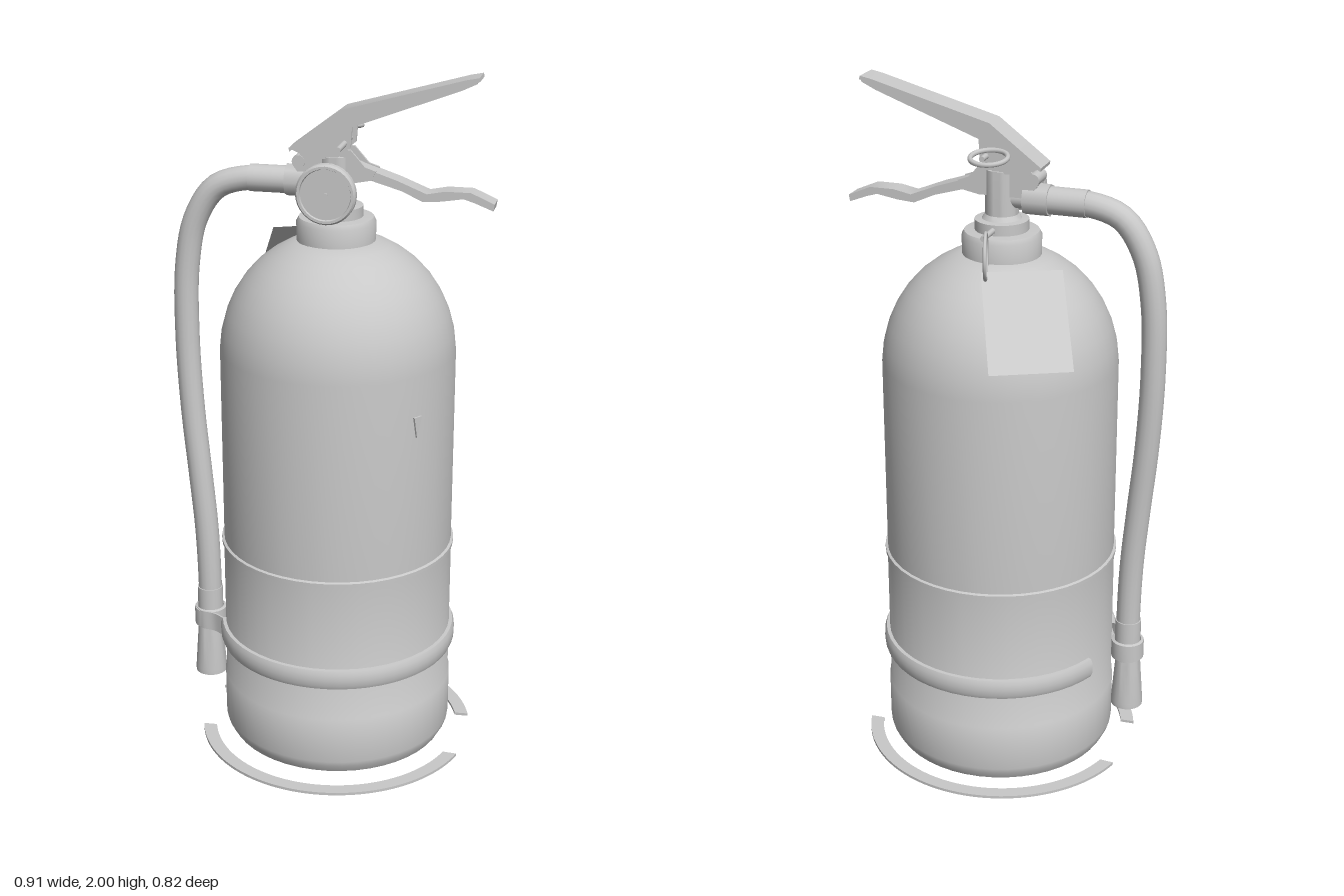
import * as THREE from 'three';
import { toCreasedNormals } from 'three/addons/utils/BufferGeometryUtils.js';

const CX = 0.02, CZ = -0.01; // tank axis
const VZ = -0.013;           // centre plane of the valve and handles

export function createModel() {
  const model = new THREE.Group();
  const grey = new THREE.MeshStandardMaterial({ color: 0xc8c8c8, side: THREE.DoubleSide });
  grey.name = 'light grey';

  const add = (name, geo, x = 0, y = 0, z = 0) => {
    const mesh = new THREE.Mesh(geo, grey);
    mesh.name = name;
    mesh.position.set(x, y, z);
    model.add(mesh);
    return mesh;
  };
  const v2 = (pts) => pts.map(([x, y]) => new THREE.Vector2(x, y));
  const v3 = (pts) => pts.map((p) => new THREE.Vector3(...p));
  const lathe = (pts, seg = 32, start = 0, len = Math.PI * 2) =>
    toCreasedNormals(new THREE.LatheGeometry(v2(pts), seg, start, len), 0.6);
  const cyl = (r0, r1, h, seg = 24) => new THREE.CylinderGeometry(r0, r1, h, seg);
  const slab = (pts, depth) => {
    const geo = new THREE.ExtrudeGeometry(new THREE.Shape(v2(pts)), { depth, bevelEnabled: false });
    geo.translate(0, 0, -depth / 2);
    return toCreasedNormals(geo, 0.6);
  };
  const tube = (pts, r, seg = 40, sides = 16) =>
    new THREE.TubeGeometry(new THREE.CatmullRomCurve3(v3(pts)), seg, r, sides);

  // Tank with a stepped base, a label lip and a round shoulder
  add('tank', lathe([
    [0, 0.012], [0.30, 0.012], [0.322, 0.02], [0.336, 0.045], [0.339, 0.06], [0.339, 0.2],
    [0.335, 0.206], [0.335, 0.624], [0.341, 0.627], [0.341, 0.637], [0.334, 0.64],
    [0.334, 1.22], [0.328, 1.275], [0.313, 1.33], [0.291, 1.38], [0.262, 1.425],
    [0.226, 1.465], [0.185, 1.497], [0.145, 1.52], [0.11, 1.533], [0, 1.535],
  ], 48), CX, 0, CZ);

  // Collar and valve body
  add('collar', lathe([
    [0.11, 1.52], [0.111, 1.585], [0.104, 1.598], [0.075, 1.6], [0.075, 1.63], [0.055, 1.632],
    [0.046, 1.645], [0.046, 1.77], [0, 1.775],
  ]), 0.014, 0, VZ);

  // Gauge facing the front
  add('gaugeStem', cyl(0.026, 0.026, 0.1).rotateX(Math.PI / 2), 0.015, 1.69, 0.062);
  add('gauge', lathe([
    [0, 0], [0.055, 0], [0.07, 0.006], [0.076, 0.012], [0.076, 0.018], [0.083, 0.02],
    [0.083, 0.036], [0.078, 0.043], [0.071, 0.043], [0.069, 0.037], [0, 0.037],
  ]).rotateX(Math.PI / 2), 0.018, 1.695, 0.105);
  add('gaugePin', cyl(0.006, 0.006, 0.006, 12).rotateX(Math.PI / 2), 0.018, 1.695, 0.144);

  // Upper lever: a folded channel, open underneath
  const top = [[-0.11, 1.79], [0.035, 1.90], [0.37, 1.993], [0.405, 2.0]];
  const side = [...top, [0.40, 1.984], [0.36, 1.965], [0.066, 1.855], [0.062, 1.80], [0.02, 1.765], [-0.055, 1.765]];
  for (const s of [-1, 1]) add('leverSide', slab(side, 0.008), 0, 0, VZ + s * 0.037);
  const under = top.map(([x, y]) => [x + 0.002, y - 0.01]).reverse();
  add('leverTop', slab([...top, ...under], 0.082), 0, 0, VZ);
  add('leverPivot', cyl(0.018, 0.018, 0.07, 16).rotateX(Math.PI / 2), -0.085, 1.752, VZ);

  // Lower carry handle: bracket cheeks and a wavy grip
  const bracket = [[-0.10, 1.74], [-0.07, 1.79], [0.06, 1.79], [0.10, 1.745], [0.13, 1.735], [0.12, 1.71], [0.07, 1.70], [-0.07, 1.70]];
  for (const s of [-1, 1]) add('handleBracket', slab(bracket, 0.008), 0, 0, VZ + s * 0.028);
  add('carryHandle', slab([
    [0.04, 1.765], [0.09, 1.745], [0.19, 1.712], [0.27, 1.68], [0.32, 1.69], [0.39, 1.69], [0.455, 1.662],
    [0.452, 1.643], [0.40, 1.663], [0.37, 1.672], [0.31, 1.662], [0.26, 1.658], [0.20, 1.685], [0.12, 1.708], [0.04, 1.71],
  ], 0.06), 0, 0, VZ);

  // Hose outlet, ferrule, hose and nozzle
  add('outletNut', cyl(0.045, 0.045, 0.07, 8).rotateZ(Math.PI / 2), -0.09, 1.693, VZ);
  add('outletPipe', cyl(0.03, 0.03, 0.1).rotateZ(Math.PI / 2), -0.03, 1.693, VZ);
  add('ferrule', cyl(0.038, 0.038, 0.105).rotateZ(Math.PI / 2), -0.177, 1.693, VZ);
  add('hose', tube([
    [-0.16, 1.693, VZ], [-0.25, 1.69, VZ], [-0.33, 1.66, VZ], [-0.39, 1.57, -0.013], [-0.419, 1.43, -0.012],
    [-0.424, 1.22, -0.008], [-0.412, 1.0, 0], [-0.392, 0.8, 0.008], [-0.376, 0.62, 0.012], [-0.37, 0.46, 0.014], [-0.37, 0.3, 0.014],
  ], 0.035, 64));
  add('hoseSleeve', cyl(0.038, 0.038, 0.13), -0.37, 0.365, 0.014);
  add('nozzle', lathe([
    [0, 0.16], [0.038, 0.16], [0.038, 0.145], [0.047, 0.145], [0.047, 0.16], [0.038, 0.28], [0.036, 0.31],
  ], 24), -0.372, 0, 0.014);

  // Strap round the tank, its link and the loop holding the hose
  add('strap', lathe([
    [0.332, 0.305], [0.345, 0.306], [0.35, 0.318], [0.351, 0.335], [0.35, 0.352], [0.345, 0.364], [0.332, 0.365],
  ], 48, -1.29, 5.63), CX, 0, CZ);
  add('hoseLoop', lathe([[0.04, 0.305], [0.048, 0.308], [0.048, 0.362], [0.04, 0.365]], 24), -0.37, 0, 0.014);
  const link = new THREE.CatmullRomCurve3(v3([[-0.41, 0, 0.035], [-0.385, 0, 0.06], [-0.345, 0, 0.068], [-0.31, 0, 0.09]])).getPoints(12);
  const linkOutline = [...link.map((p) => [p.x, -p.z]), ...link.map((p) => [p.x, -p.z + 0.006]).reverse()];
  add('strapLink', slab(linkOutline, 0.058).rotateX(-Math.PI / 2), 0, 0.335, 0);

  // Safety pin with a pull ring, and a tag hanging behind on its own ring
  add('safetyPin', cyl(0.008, 0.008, 0.2, 12).rotateX(Math.PI / 2), 0.045, 1.81, 0.012);
  const pull = add('pullRing', new THREE.TorusGeometry(0.05, 0.007, 8, 32), 0.01, 1.828, -0.128);
  pull.rotation.x = Math.PI / 2 - 0.15;
  add('tagPeg', cyl(0.008, 0.008, 0.13, 10).rotateX(Math.PI / 2), 0.015, 1.615, -0.1);
  const ring = add('tagRing', new THREE.TorusGeometry(0.062, 0.005, 8, 32), -0.005, 1.58, -0.2);
  ring.rotation.set(0, Math.PI / 2 + 0.3, 0.0);

  const tag = new THREE.BufferGeometry();
  tag.setAttribute('position', new THREE.Float32BufferAttribute([
    -0.288, 1.33, -0.311, -0.188, 1.53, -0.098, 0.013, 1.53, -0.189, -0.087, 1.33, -0.411,
  ], 3));
  tag.setIndex([0, 1, 2, 0, 2, 3]);
  tag.computeVertexNormals();
  add('tag', tag);

  // Small clip mark on the tank wall
  const mark = add('wallMark', slab([[-0.014, 0.03], [-0.004, -0.03], [0.014, 0.03]], 0.008), CX + 0.267, 1.075, CZ + 0.203);
  mark.rotation.y = Math.atan2(0.267, 0.203);

  // Two flat arcs on the floor, in front and behind
  for (const a of [0, Math.PI]) {
    const arc = new THREE.Shape();
    arc.absarc(0, 0, 0.407, a + 0.29, a + Math.PI - 0.29, false);
    arc.absarc(0, 0, 0.368, a + Math.PI - 0.315, a + 0.315, true);
    const geo = new THREE.ExtrudeGeometry(arc, { depth: 0.008, bevelEnabled: false, curveSegments: 24 });
    add('floorArc', geo.rotateX(-Math.PI / 2), CX, 0, 0);
  }
  return model;
}
